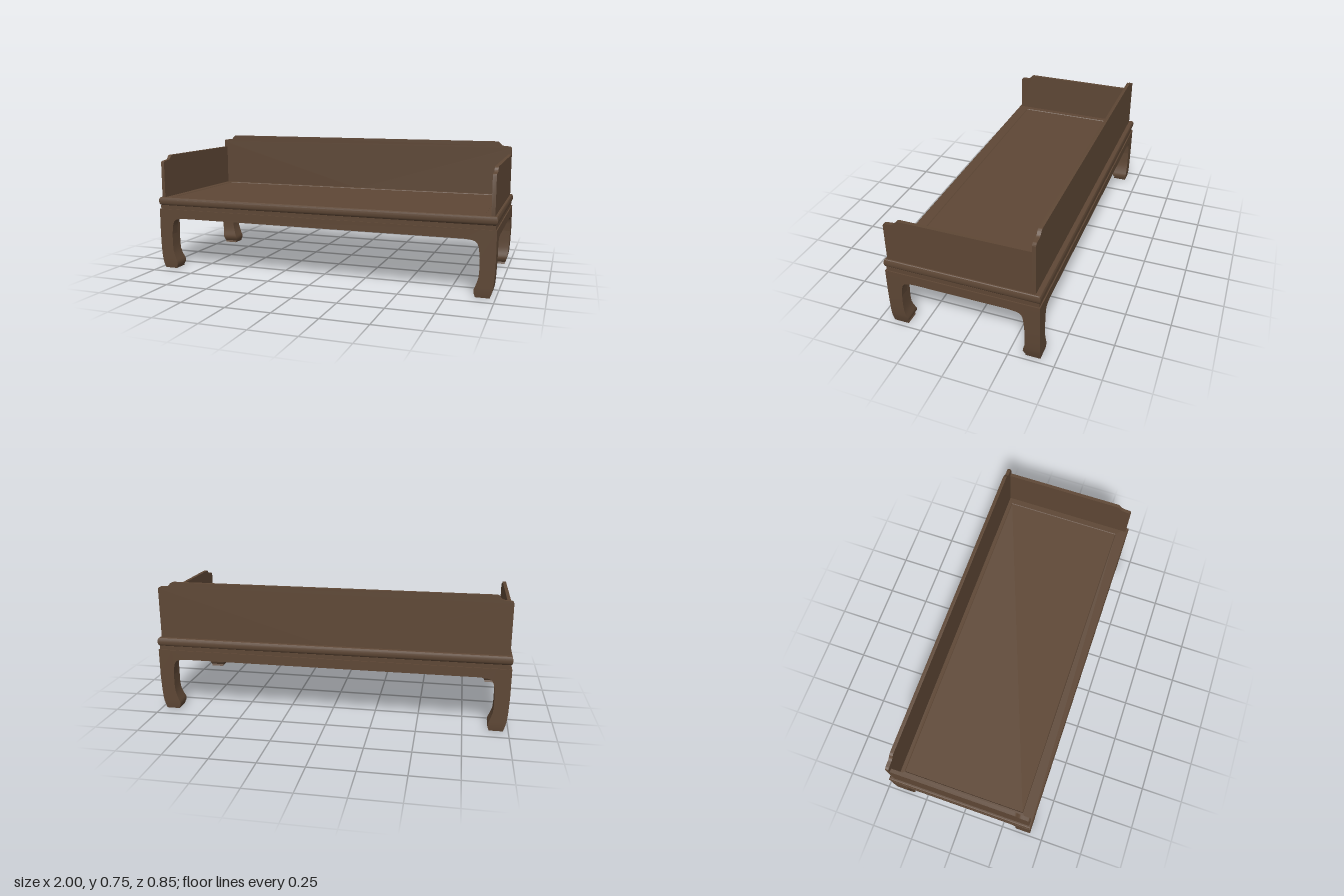
import * as THREE from 'three';
import { toCreasedNormals } from 'three/addons/utils/BufferGeometryUtils.js';

const W = 0.998, D = 0.424; // half width and half depth of the seat frame

// Skin rectangular rows [x0, x1, z0, z1, y], listed upward on the outside
function loft(rows) {
  const pos = [];
  const corners = ([x0, x1, z0, z1, y]) => [[x1, y, z1], [x1, y, z0], [x0, y, z0], [x0, y, z1]];
  for (let i = 0; i < rows.length - 1; i++) {
    const lo = corners(rows[i]), hi = corners(rows[i + 1]);
    for (let k = 0; k < 4; k++) {
      const n = (k + 1) % 4;
      pos.push(...lo[k], ...lo[n], ...hi[n], ...lo[k], ...hi[n], ...hi[k]);
    }
  }
  const g = new THREE.BufferGeometry();
  g.setAttribute('position', new THREE.Float32BufferAttribute(pos, 3));
  return toCreasedNormals(g, 0.6);
}

// Mitred rectangular moulding from a profile of [inset, y]
function moulding(profile) {
  const rows = profile.map(([i, y]) => [i - W, W - i, i - D, D - i, y]);
  return loft([...rows, rows[0]]);
}

function slab(shape, depth) {
  const g = new THREE.ExtrudeGeometry(shape, { depth, bevelEnabled: false, curveSegments: 8 });
  return toCreasedNormals(g, 0.6);
}

export function createModel() {
  const wood = new THREE.MeshStandardMaterial({ color: 0x5e4735 });
  wood.name = 'dark brown wood';
  const model = new THREE.Group();
  model.name = 'daybed';
  const add = (name, geometry) => {
    const m = new THREE.Mesh(geometry, wood);
    m.name = name;
    model.add(m);
    return m;
  };

  // Seat frame with a rounded edge, the set-in panel and the waist below
  add('seatFrame', moulding([
    [0.01, 0.383], [0.004, 0.388], [0.001, 0.396], [0, 0.407], [0.001, 0.418], [0.004, 0.427], [0.008, 0.43],
    [0.07, 0.43], [0.074, 0.425], [0.074, 0.383],
  ]));
  const panel = add('seatPanel', new THREE.BoxGeometry(2 * (W - 0.073), 0.03, 2 * (D - 0.073)));
  panel.position.y = 0.411;
  add('waist', moulding([[0.008, 0.36], [0.008, 0.383], [0.06, 0.383], [0.06, 0.36]]));

  // Legs: square section, curling inward at the foot; [y, outer x, outer z, thickness]
  const legX = 0.996, legZ = 0.422, thick = 0.082;
  const legRows = [
    [0, 0.971, 0.418, 0.072], [0.012, 0.975, 0.420, 0.082], [0.025, 0.979, 0.421, 0.091],
    [0.04, 0.983, 0.422, 0.095], [0.052, 0.986, 0.422, 0.093], [0.066, 0.988, 0.422, 0.089],
    [0.085, 0.990, 0.422, 0.084], [0.11, 0.992, 0.422, 0.081], [0.15, 0.994, 0.422, 0.080],
    [0.21, legX, legZ, thick], [0.36, legX, legZ, thick],
  ];
  for (const sx of [-1, 1]) {
    for (const sz of [-1, 1]) {
      const rows = legRows.map(([y, ox, oz, t]) => {
        const foot = y < 0.1 ? 0.086 + (t - 0.084) * 0.9 : t;
        const xs = [sx * ox, sx * (ox - foot)].sort((a, b) => a - b);
        const zs = [sz * oz, sz * (oz - (oz - legZ) - t - (y === 0 ? 0.014 : 0))].sort((a, b) => a - b);
        return [...xs, ...zs, y];
      });
      const cap = ([x0, x1, z0, z1, y]) => {
        const x = (x0 + x1) / 2, z = (z0 + z1) / 2;
        return [x, x, z, z, y];
      };
      add((sz > 0 ? 'front' : 'back') + (sx > 0 ? 'Left' : 'Right') + 'Leg',
        loft([cap(rows[0]), ...rows, cap(rows[rows.length - 1])]));
    }
  }

  // Aprons with curved spandrels running into the legs
  const apron = (half) => {
    const s = new THREE.Shape();
    s.moveTo(-half, 0.36);
    s.lineTo(-half, 0.21);
    s.lineTo(-half + 0.005, 0.255);
    s.bezierCurveTo(-half + 0.012, 0.3, -half + 0.025, 0.304, -half + 0.09, 0.307);
    s.lineTo(half - 0.09, 0.307);
    s.bezierCurveTo(half - 0.025, 0.304, half - 0.012, 0.3, half - 0.005, 0.255);
    s.lineTo(half, 0.21);
    s.lineTo(half, 0.36);
    return slab(s, 0.052);
  };
  for (const s of [-1, 1]) {
    const long = add(s > 0 ? 'frontApron' : 'backApron', apron(legX - thick));
    long.position.z = s > 0 ? legZ - 0.052 : -legZ;
    const short = add(s > 0 ? 'leftApron' : 'rightApron', apron(legZ - thick));
    short.rotation.y = Math.PI / 2;
    short.position.x = s > 0 ? legX - 0.052 : -legX;
  }

  // Stepped, rounded shoulder from the panel's end edge up to its top
  const shoulder = (s, end, dir, top) => {
    const p = (inset, drop) => [end + dir * inset, top - drop];
    s.lineTo(...p(0, 0.045));
    s.bezierCurveTo(...p(0, 0.034), ...p(0.006, 0.03), ...p(0.016, 0.029));
    s.lineTo(...p(0.045, 0.027));
    s.bezierCurveTo(...p(0.072, 0.026), ...p(0.066, 0.002), ...p(0.09, 0));
  };

  // Back panel
  const endX = 0.983;
  const half = new THREE.Shape();
  half.moveTo(0, 0.425);
  half.lineTo(endX, 0.425);
  shoulder(half, endX, -1, 0.755);
  const pts = half.getPoints(8);
  const mirrored = pts.slice(1).reverse().map((p) => new THREE.Vector2(-p.x, p.y));
  const back = add('backPanel', slab(new THREE.Shape([...pts, ...mirrored]), 0.02));
  back.position.z = -0.395;

  // Side panels
  for (const s of [-1, 1]) {
    const side = new THREE.Shape();
    side.moveTo(0.375, 0.425);
    side.lineTo(-0.408, 0.425);
    shoulder(side, -0.408, 1, 0.677);
    side.lineTo(0.375, 0.677);
    const m = add(s > 0 ? 'leftPanel' : 'rightPanel', slab(side, 0.02));
    m.rotation.y = Math.PI / 2;
    m.position.x = s > 0 ? endX - 0.02 : -endX;
  }
  return model;
}
